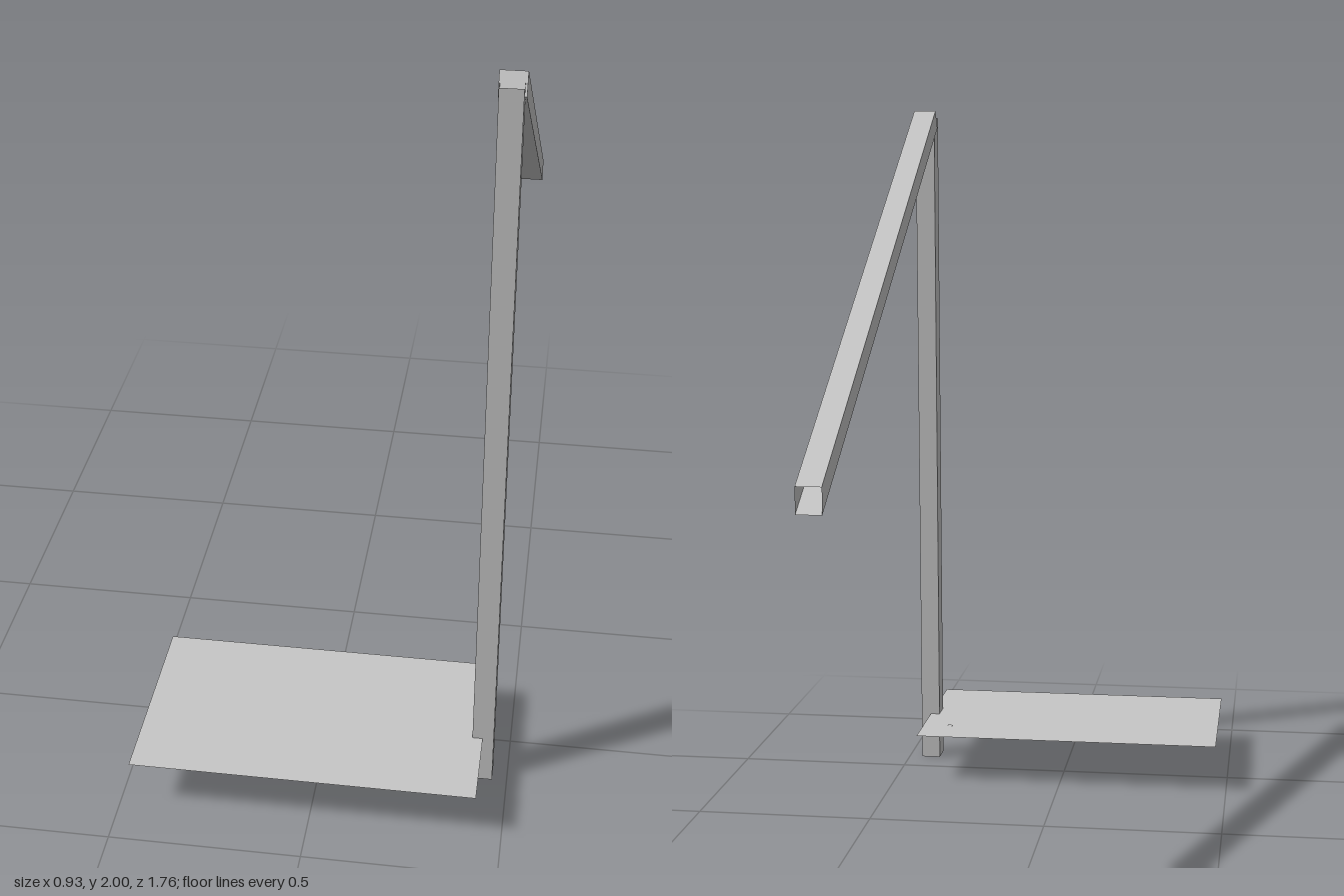
import * as THREE from 'three';

// Thin-walled four-sided tube between two rings of corners, optionally capped at the near end
function boxTube(near, far, capped) {
  const pos = [];
  const quad = (a, b, c, d) => pos.push(...a, ...b, ...c, ...a, ...c, ...d);
  for (let i = 0; i < 4; i++) {
    const j = (i + 1) % 4;
    quad(near[i], near[j], far[j], far[i]);
  }
  if (capped) quad(near[3], near[2], near[1], near[0]);
  const g = new THREE.BufferGeometry();
  g.setAttribute('position', new THREE.Float32BufferAttribute(pos, 3));
  g.computeVertexNormals();
  return g;
}

export function createModel() {
  const group = new THREE.Group();
  const grey = new THREE.MeshStandardMaterial({ color: 0xc6c6c6, side: THREE.DoubleSide });
  grey.name = 'light grey';

  const add = (name, geometry) => {
    const mesh = new THREE.Mesh(geometry, grey);
    mesh.name = name;
    group.add(mesh);
    return mesh;
  };

  // Upright post, open at both ends
  const postRing = (y) => [[0.405, y, 0.594], [0.461, y, 0.594], [0.461, y, 0.656], [0.405, y, 0.656]];
  add('post', boxTube(postRing(1.98), postRing(0), false));

  // Sloping arm: square-cut closed upper end, upright-cut open lower end
  const armRing = (top, bottom) => [
    [0.402, ...top], [0.466, ...top], [0.466, ...bottom], [0.402, ...bottom],
  ];
  add('arm', boxTube(
    armRing([2, 0.601], [1.951, 0.631]),
    armRing([1.108, -0.884], [1.042, -0.884]),
    true,
  ));

  // Flat plate crossing the foot of the post
  const plateY = 0.14;
  const plate = add('plate', new THREE.PlaneGeometry(0.9, 0.525).rotateX(-Math.PI / 2));
  plate.position.set(-0.018, plateY, 0.617);

  // Small square pad on the plate
  const pad = add('plateMark', new THREE.PlaneGeometry(0.016, 0.016).rotateX(-Math.PI / 2));
  pad.position.set(0.348, plateY + 0.002, 0.468);

  return group;
}
